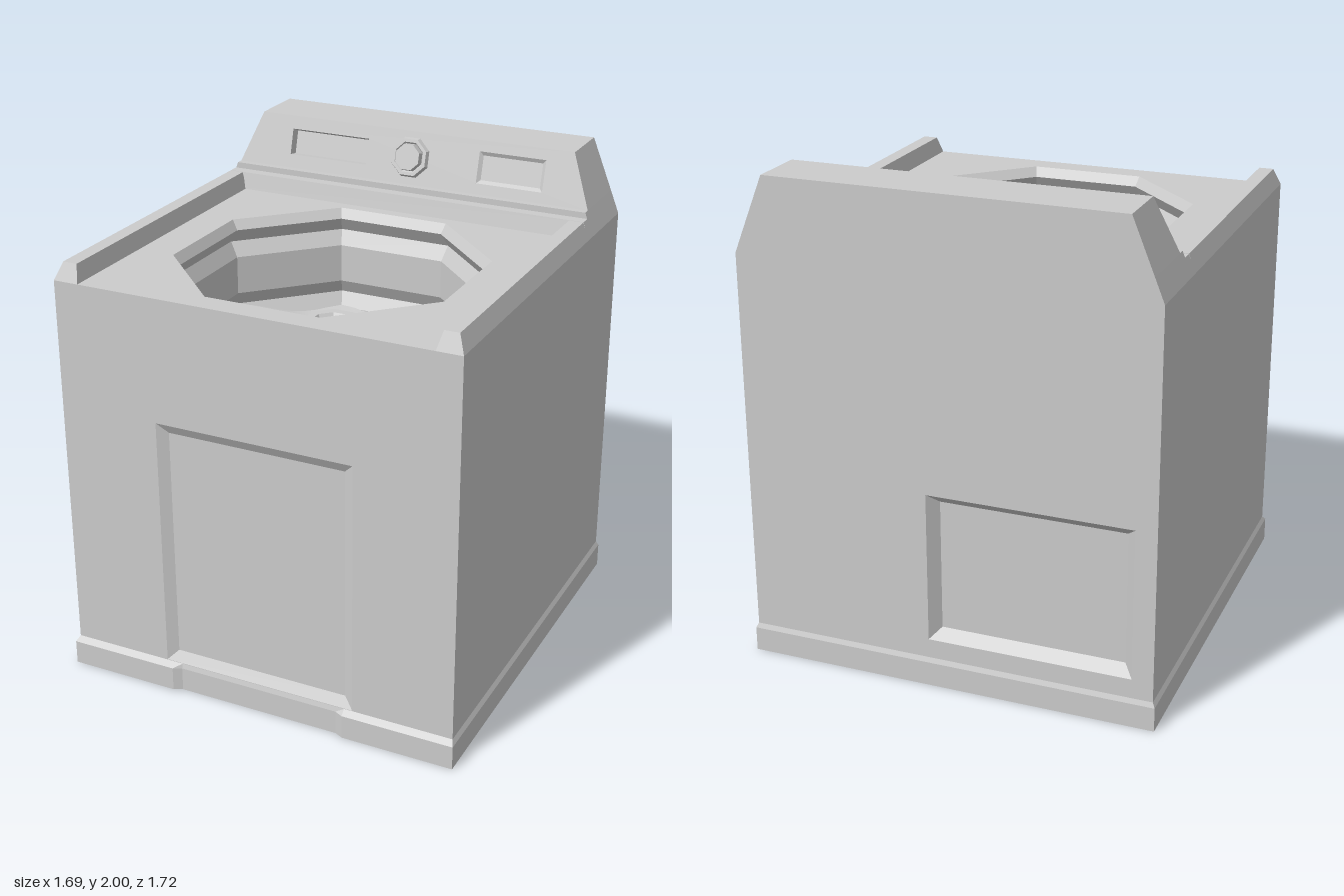
import * as THREE from 'three';

const grey = new THREE.MeshStandardMaterial({ color: 0xcccccc, flatShading: true });
const smooth = new THREE.MeshStandardMaterial({ color: 0xcccccc, side: THREE.DoubleSide });
const TUB_Z = 0.165;

// Flat-faced skin through equal-length loops of [x, y, z]; caps fan from the loop centre.
function loft(loops, { start = false, end = false, skip = () => false } = {}) {
  const pos = [];
  const n = loops[0].length;
  const cap = (loop, flip) => {
    const c = [0, 1, 2].map(k => loop.reduce((s, p) => s + p[k], 0) / n);
    loop.forEach((p, i) => {
      const q = loop[(i + 1) % n];
      pos.push(...c, ...(flip ? q : p), ...(flip ? p : q));
    });
  };
  for (let l = 0; l < loops.length - 1; l++) {
    for (let i = 0; i < n; i++) {
      if (skip(l, i)) continue;
      const j = (i + 1) % n, a = loops[l], b = loops[l + 1];
      pos.push(...a[i], ...a[j], ...b[j], ...a[i], ...b[j], ...b[i]);
    }
  }
  if (start) cap(loops[0], true);
  if (end) cap(loops[loops.length - 1], false);
  const g = new THREE.BufferGeometry();
  g.setAttribute('position', new THREE.Float32BufferAttribute(pos, 3));
  g.computeVertexNormals();
  return g;
}

function add(parent, name, geometry, material = grey) {
  const m = new THREE.Mesh(geometry, material);
  m.name = name;
  parent.add(m);
  return m;
}

// Horizontal rectangle, counter-clockwise from above; side 3 is the front edge.
const slab = (x0, x1, zb, zf, y) => [[x1, y, zf], [x1, y, zb], [x0, y, zb], [x0, y, zf]];
// Upright rectangle, counter-clockwise from the front.
const upright = ([x0, x1, y0, y1], inset, z) => [
  [x0 + inset, y0 + inset, z], [x1 - inset, y0 + inset, z],
  [x1 - inset, y1 - inset, z], [x0 + inset, y1 - inset, z]];
// Octagon points by the distance from centre to flat side.
const octagon = apothem => Array.from({ length: 8 }, (_, i) => {
  const t = (i + 0.5) * Math.PI / 4, r = apothem / Math.cos(Math.PI / 8);
  return [r * Math.cos(t), r * Math.sin(t)];
});
const flatOct = (a, y) => octagon(a).map(([u, v]) => [u, y, TUB_Z - v]);

// Flat outline with holes cut in it, in the xy plane.
function sheet(outline, holes = []) {
  const v = pts => pts.map(p => new THREE.Vector2(p[0], p[1]));
  const s = new THREE.Shape(v(outline));
  holes.forEach(h => s.holes.push(new THREE.Path(v(h))));
  return new THREE.ShapeGeometry(s);
}
const recess = (rect, inset, depth) =>
  loft([upright(rect, 0, 0), upright(rect, inset, -depth)], { end: true });

export function createModel() {
  const model = new THREE.Group();
  model.name = 'washingMachine';

  // Plinth with a shallow toe notch in the front
  const plinth = (x, zb, zf, notch, y) => [
    [x, y, zf], [x, y, zb], [-x, y, zb], [-x, y, zf],
    [-0.38, y, zf], [-0.345, y, notch], [0.345, y, notch], [0.38, y, zf]];
  add(model, 'plinth', loft([
    plinth(0.845, -0.858, 0.862, 0.845, 0),
    plinth(0.845, -0.858, 0.862, 0.845, 0.1),
    plinth(0.835, -0.85, 0.84, 0.84, 0.12)], { start: true }));

  // Cabinet side walls (front and back are cut sheets)
  add(model, 'cabinetSides', loft(
    [slab(-0.835, 0.835, -0.85, 0.84, 0.11), slab(-0.835, 0.835, -0.85, 0.84, 1.69)],
    { skip: (l, i) => i === 1 || i === 3 }));

  // Front and back walls, each with a bevelled recessed panel
  const wall = [-0.835, 0.835, 0.11, 1.69];
  const walls = [
    ['front', [-0.415, 0.415, 0.122, 1.18], 0.042, 0.025, 0.84, 0],
    ['back', [-0.08, 0.75, 0.2, 0.82], 0.04, 0.045, -0.85, Math.PI]];
  for (const [name, rect, inset, depth, z, turn] of walls) {
    const g = new THREE.Group();
    g.name = name + 'Wall';
    add(g, name + 'Sheet', sheet(upright(wall, 0, 0), [upright(rect, 0, 0)]));
    add(g, name + 'Recess', recess(rect, inset, depth));
    g.position.z = z;
    g.rotation.y = turn;
    model.add(g);
  }

  // Top deck with octagonal opening
  const deck = add(model, 'topDeck', sheet(
    [[-0.835, -0.84], [0.835, -0.84], [0.835, 0.46], [-0.835, 0.46]],
    [octagon(0.575).map(([x, y]) => [x, y - TUB_Z])]));
  deck.rotation.x = -Math.PI / 2;
  deck.position.y = 1.69;

  // Raised rails along both sides of the deck
  for (const s of [1, -1]) {
    const bar = (a, b, zf, y) => slab(Math.min(s * a, s * b), Math.max(s * a, s * b), -0.47, zf, y);
    add(model, s > 0 ? 'leftRail' : 'rightRail',
      loft([bar(0.73, 0.835, 0.84, 1.69), bar(0.747, 0.807, 0.81, 1.76)], { end: true }));
  }

  // Tub wall: rim bevel, upper groove, basket wall, lower groove
  const tub = [[0.575, 1.69], [0.55, 1.65], [0.59, 1.59], [0.555, 1.53],
    [0.555, 1.37], [0.59, 1.31], [0.555, 1.25], [0.555, 1.1]];
  add(model, 'tub', loft(tub.map(([a, y]) => flatOct(a, y)), { end: true }));

  // Lumpy heap filling the bottom of the tub
  const heap = new THREE.RingGeometry(0.001, 0.57, 64, 14);
  heap.rotateX(-Math.PI / 2);
  const p = heap.attributes.position;
  for (let i = 0; i < p.count; i++) {
    const x = p.getX(i), z = p.getZ(i);
    const t = Math.atan2(z, x), q = Math.PI / 4;
    const off = t - Math.round(t / q) * q;
    const k = Math.cos(Math.PI / 8) / Math.cos(off) * 1.06;
    const lump = 0.03 * Math.sin(7 * x + 3 * z) + 0.025 * Math.sin(8 * z - 5 * x + 1)
      + 0.02 * Math.cos(11 * x - 4 * z);
    p.setXYZ(i, x * k, 1.26 + lump, z * k);
  }
  heap.computeVertexNormals();
  add(model, 'heap', heap, smooth).position.z = TUB_Z;

  // Agitator post with a dished cap
  const post = [[0.12, 1.15], [0.12, 1.41], [0.11, 1.43], [0.077, 1.43], [0.058, 1.40]];
  add(model, 'agitator', loft(post.map(([a, y]) => flatOct(a, y)), { end: true }));

  // Console: rear bar, small step, then the sloped housing
  const tier = (x, zf, y) => slab(-x, x, -0.85, zf, y);
  add(model, 'console', loft([
    tier(0.835, -0.46, 1.69), tier(0.807, -0.475, 1.76), tier(0.807, -0.52, 1.76),
    tier(0.797, -0.52, 1.785), tier(0.797, -0.55, 1.785), tier(0.71, -0.61, 2)],
  { end: true, skip: (l, i) => l === 4 && i === 3 }));

  // Sloped control panel with display window, shallow panel and knob
  const panel = new THREE.Group();
  panel.name = 'controlPanel';
  panel.position.set(0, 1.785, -0.55);
  panel.rotation.x = -Math.atan2(0.06, 0.215);
  const h = Math.hypot(0.06, 0.215);
  const display = [-0.56, -0.2, 0.057, 0.167], label = [0.305, 0.595, 0.045, 0.177];
  add(panel, 'controlFace', sheet(
    [[-0.797, 0], [0.797, 0], [0.71, h], [-0.71, h]],
    [upright(display, 0, 0), upright(label, 0, 0)]));
  add(panel, 'displayWindow', recess(display, 0.006, 0.035));
  add(panel, 'sidePanel', recess(label, 0.015, 0.012));
  const knob = [[0.082, 0], [0.075, 0.018], [0.062, 0.018], [0.056, 0.01], [0.052, 0.036]];
  add(panel, 'knob', loft(
    knob.map(([a, z]) => octagon(a).map(([x, y]) => [x, y + 0.114, z])), { end: true }));
  model.add(panel);

  return model;
}
